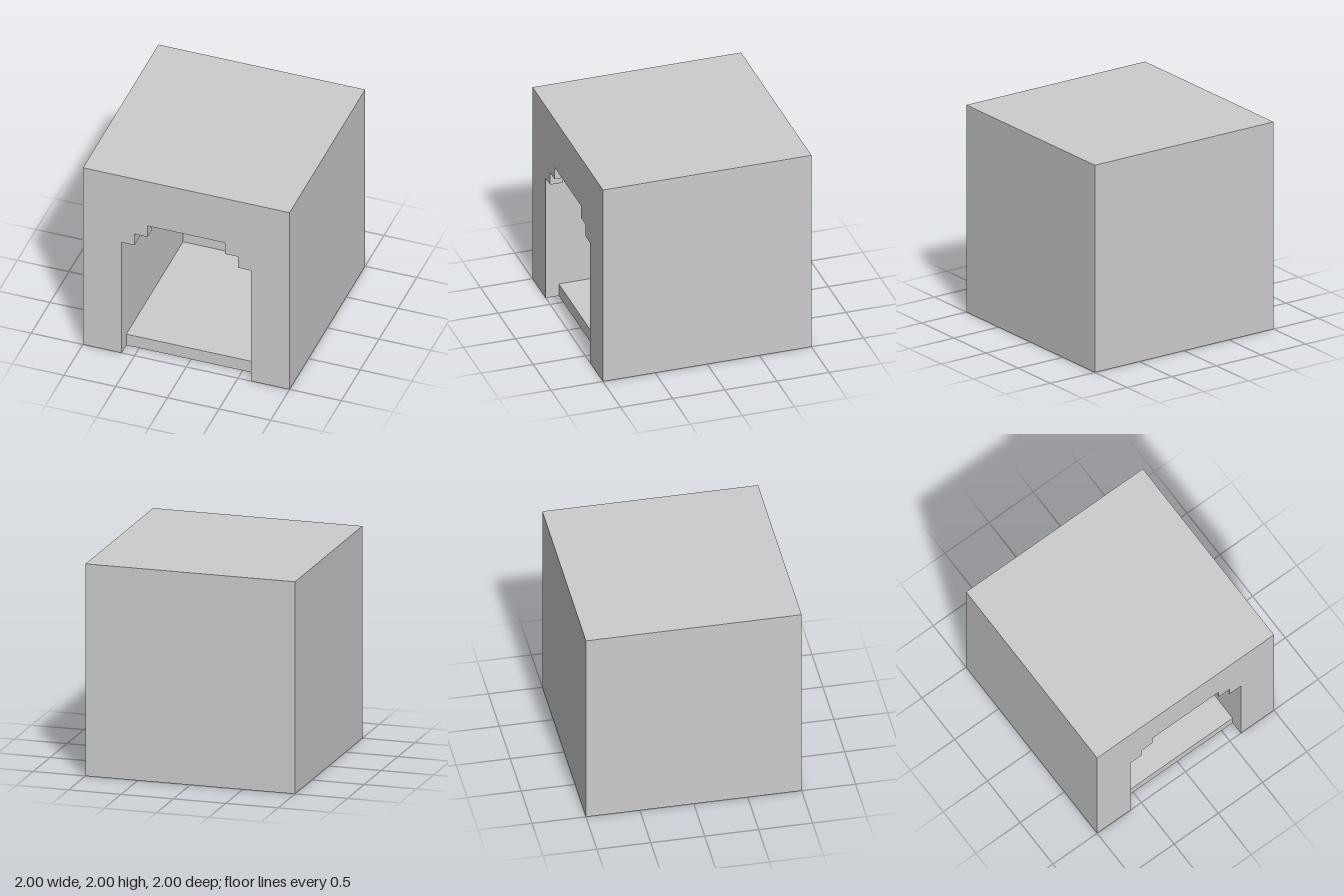
import * as THREE from 'three';

const U = 0.125; // one block unit

const trace = (PathType, points) =>
  new PathType(points.map(([x, y]) => new THREE.Vector2(x * U, y * U)));

export function createModel() {
  const group = new THREE.Group();
  const stone = new THREE.MeshStandardMaterial({ color: 0xcccccc });
  stone.name = 'light grey';

  // Extrudes a shape from z0 to z1, in block units
  const addSlab = (name, shape, z0, z1) => {
    const geometry = new THREE.ExtrudeGeometry(shape, { depth: (z1 - z0) * U, bevelEnabled: false });
    geometry.translate(0, 0, z0 * U);
    const mesh = new THREE.Mesh(geometry, stone);
    mesh.name = name;
    group.add(mesh);
  };

  const square = () => trace(THREE.Shape, [[-8, 0], [8, 0], [8, 16], [-8, 16]]);

  // Front wall with a stepped arch that is open down to the ground
  const rightHalf = [[5, 0], [5, 10], [4, 10], [4, 11], [3, 11], [3, 12]];
  const leftHalf = rightHalf.map(([x, y]) => [-x, y]);
  addSlab('frontArch', trace(THREE.Shape, [
    [-8, 0], ...leftHalf, ...rightHalf.reverse(), [8, 0], [8, 16], [-8, 16],
  ]), 7, 8);

  // Side walls, roof and raised floor around the chamber
  const chamber = square();
  chamber.holes.push(trace(THREE.Path, [[-5, 1], [-5, 12], [5, 12], [5, 1]]));
  addSlab('chamberWalls', chamber, -5, 7);

  // Solid back wall
  addSlab('backWall', square(), -8, -5);

  return group;
}
